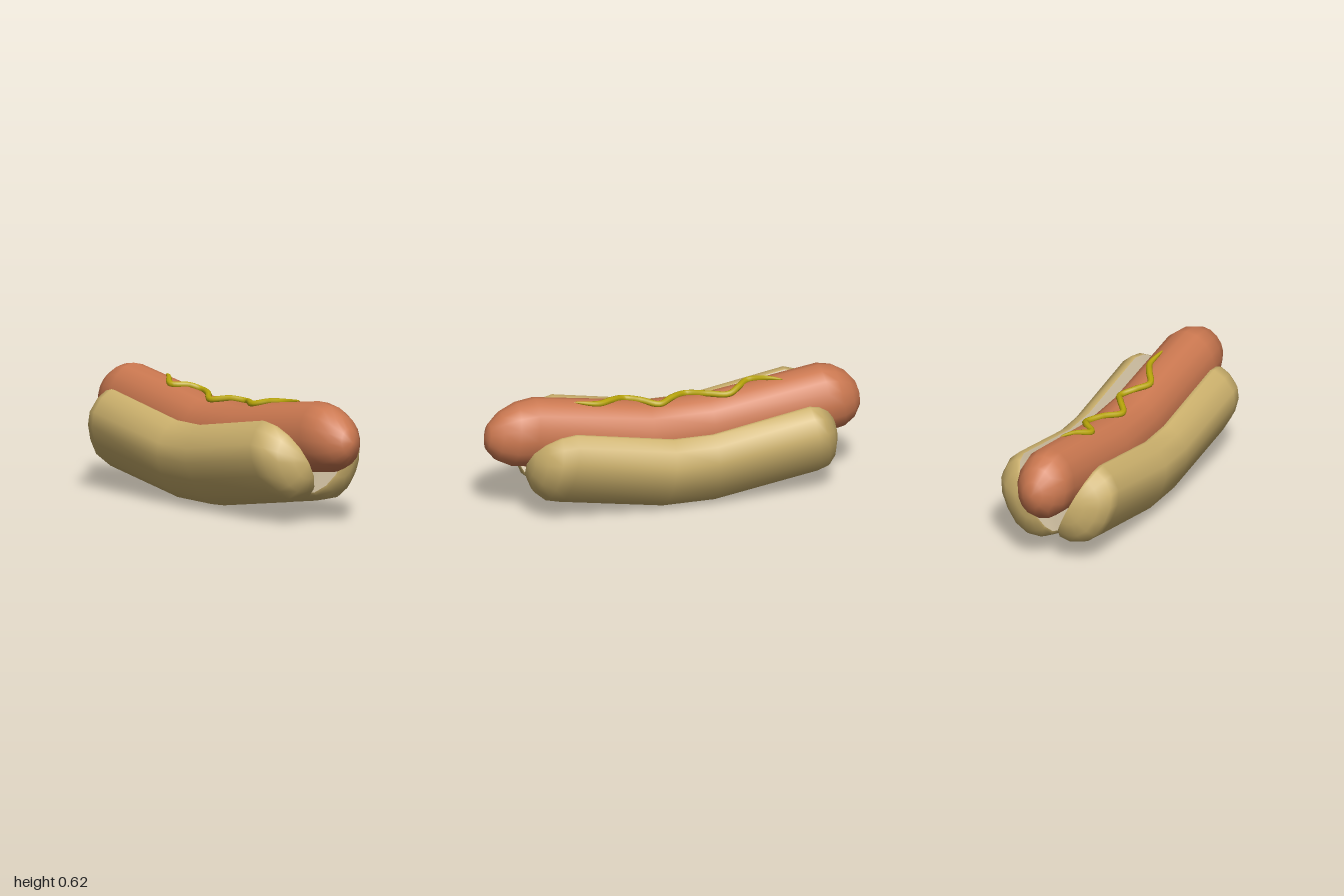
import * as THREE from 'three';
import { mergeVertices } from 'three/addons/utils/BufferGeometryUtils.js';

const LIFT = 0.09; // how far the ends curve up
const CAP_STEPS = 4;

// z positions: start of front cap, flat middle (front, back), start of back cap; tips at both ends
const SAUSAGE = { front: 0.75, midF: 0.14, midB: -0.2, back: -0.81, tipF: 1, tipB: -1 };
const BUN = { front: 0.6, midF: 0.07, midB: -0.17, back: -0.7, tipF: 0.8, tipB: -0.84 };

// Rings from the front tip to the back tip: position, scale, lift and lean
function makeRings(s) {
  const rings = [];
  const leanF = LIFT / (s.front - s.midF);
  const leanB = -LIFT / (s.midB - s.back);
  for (let i = 0; i <= CAP_STEPS; i++) {
    const a = (i / CAP_STEPS) * Math.PI / 2;
    rings.push({ z: s.front + (s.tipF - s.front) * Math.cos(a), k: Math.sin(a), lift: LIFT, lean: leanF });
  }
  rings.push({ z: s.midF, k: 1, lift: 0, lean: leanF / 2 });
  rings.push({ z: s.midB, k: 1, lift: 0, lean: leanB / 2 });
  for (let i = CAP_STEPS; i >= 0; i--) {
    const a = (i / CAP_STEPS) * Math.PI / 2;
    rings.push({ z: s.back + (s.tipB - s.back) * Math.cos(a), k: Math.sin(a), lift: LIFT, lean: leanB });
  }
  return rings;
}

// Skin a cross-section (anticlockwise seen from the front) along the rings, shrinking to a centre
function loft(section, [cx, cy], rings, closed) {
  const n = section.length;
  const pos = [], index = [];
  for (const r of rings) {
    for (const [x, y] of section) {
      const dy = (y - cy) * r.k;
      pos.push(cx + (x - cx) * r.k, cy + dy + r.lift, r.z - r.lean * dy);
    }
  }
  for (let i = 0; i < rings.length - 1; i++) {
    for (let j = 0; j < (closed ? n : n - 1); j++) {
      const a = i * n + j, b = i * n + (j + 1) % n;
      const c = a + n, d = b + n;
      if (i > 0) index.push(a, c, b);
      if (i < rings.length - 2) index.push(b, c, d);
    }
  }
  let geo = new THREE.BufferGeometry();
  geo.setAttribute('position', new THREE.Float32BufferAttribute(pos, 3));
  geo.setIndex(index);
  geo = mergeVertices(geo, 1e-4);
  geo.computeVertexNormals();
  return geo;
}

function addMesh(parent, name, geo, color) {
  const mesh = new THREE.Mesh(geo, new THREE.MeshStandardMaterial({ color }));
  mesh.name = name;
  parent.add(mesh);
  return mesh;
}

// Half bun: rounded crust plus the flat cut face between its two lips
function makeBun(name, section) {
  const bun = new THREE.Group();
  bun.name = name;
  const first = section[0], last = section[section.length - 1];
  const centre = [(first[0] + last[0]) / 2, (first[1] + last[1]) / 2];
  const rings = makeRings(BUN);
  addMesh(bun, 'crust', loft(section, centre, rings, false), 0xcbb06c);
  addMesh(bun, 'cutFace', loft([last, first], centre, rings, false), 0xcdbd9f);
  return bun;
}

// Wavy tube lying on top of the sausage, thinning to a point at both ends
function makeMustard(cx, cy, rx, ry) {
  const bends = [[0.062, -0.58], [0.02, -0.51], [-0.035, -0.42], [0.03, -0.35], [0.062, -0.29], [0.02, -0.19],
    [-0.042, -0.09], [0.015, 0], [0.058, 0.08], [0.01, 0.16], [-0.03, 0.24], [0.015, 0.32], [0.053, 0.4], [0.045, 0.53]];
  const topAt = (x, z) => {
    const s = SAUSAGE;
    const t = Math.max(0, (z - s.midF) / (s.front - s.midF), (s.midB - z) / (s.midB - s.back));
    return cy + t * LIFT + ry * Math.sqrt(1 - ((x - cx) / rx) ** 2);
  };
  const path = new THREE.CatmullRomCurve3(bends.map(([x, z]) => new THREE.Vector3(x, topAt(x, z) + 0.008, z)));
  const steps = 80, sides = 8;
  const geo = new THREE.TubeGeometry(path, steps, 0.017, sides);
  const p = geo.attributes.position, v = new THREE.Vector3();
  for (let i = 0; i <= steps; i++) {
    const u = i / steps;
    const k = Math.min(1, Math.sqrt(Math.min(u, 1 - u) / 0.12));
    const c = path.getPointAt(u);
    for (let j = 0; j <= sides; j++) {
      const id = i * (sides + 1) + j;
      v.fromBufferAttribute(p, id).sub(c).multiplyScalar(k).add(c);
      p.setXYZ(id, v.x, v.y, v.z);
    }
  }
  return geo;
}

export function createModel() {
  const model = new THREE.Group();
  model.name = 'hotDog';

  // Sausage: sixteen-sided oval with rounded ends
  const cx = 0.011, cy = 0.352, rx = 0.15, ry = 0.18;
  const oval = [];
  for (let i = 0; i < 16; i++) {
    const a = (i / 16) * Math.PI * 2;
    oval.push([cx + rx * Math.cos(a), cy + ry * Math.sin(a)]);
  }
  addMesh(model, 'sausage', loft(oval, [cx, cy], makeRings(SAUSAGE), true), 0xcb7850);

  // Bun halves: slightly different outlines on each side
  model.add(makeBun('leftBun', [[-0.009, 0.045], [0, 0.025], [0.06, 0], [0.145, 0.003], [0.22, 0.045],
    [0.28, 0.12], [0.32, 0.2], [0.333, 0.28], [0.3, 0.36], [0.25, 0.405], [0.225, 0.402]]));
  model.add(makeBun('rightBun', [[-0.205, 0.428], [-0.23, 0.436], [-0.285, 0.398], [-0.33, 0.325], [-0.332, 0.25],
    [-0.302, 0.16], [-0.25, 0.075], [-0.18, 0.025], [-0.1, 0.01], [-0.037, 0.025], [-0.026, 0.045]]));

  addMesh(model, 'mustard', makeMustard(cx, cy, rx, ry), 0xb9a60a);
  return model;
}
